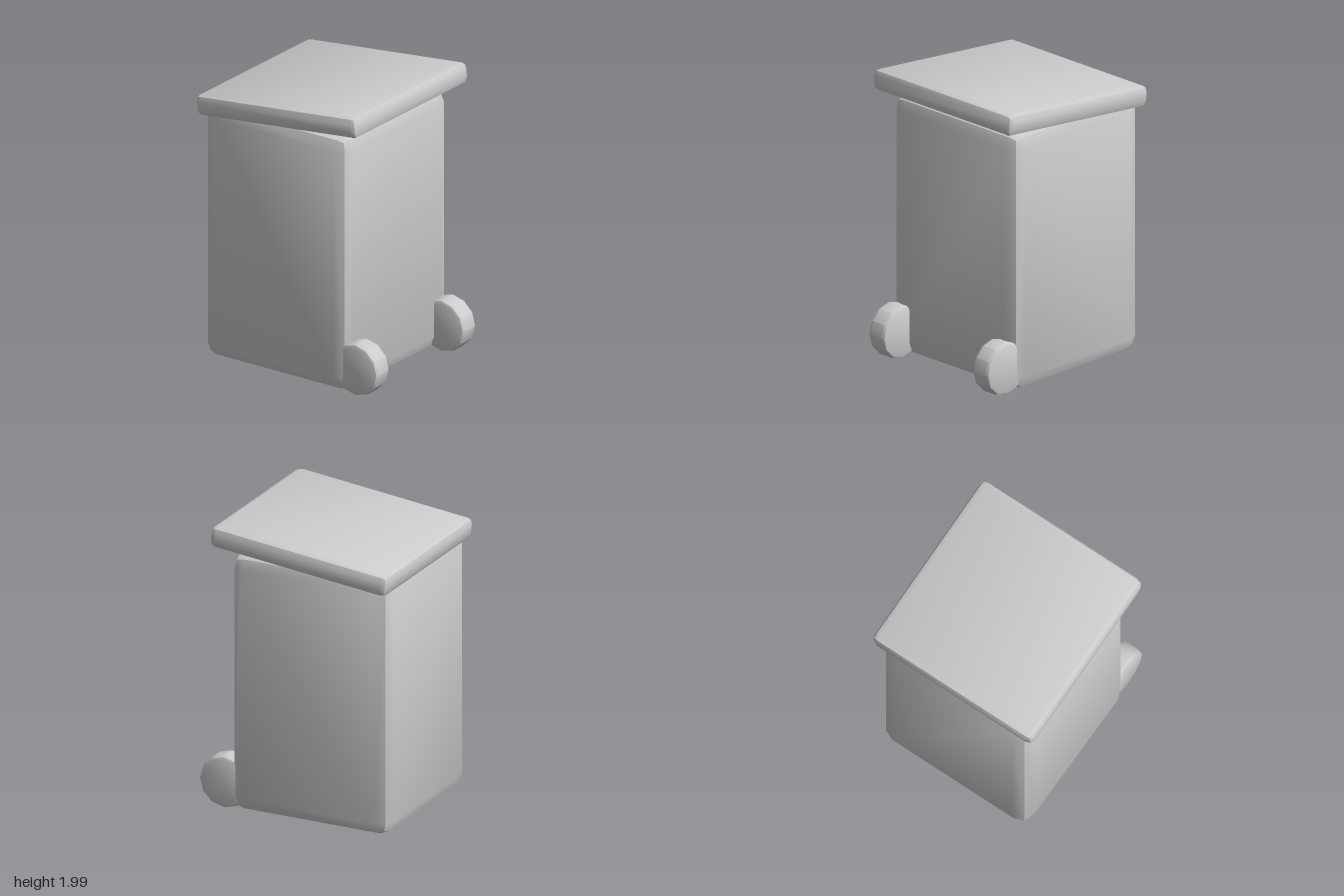
import * as THREE from 'three';
import { toCreasedNormals } from 'three/addons/utils/BufferGeometryUtils.js';
import { ConvexGeometry } from 'three/addons/geometries/ConvexGeometry.js';

const CREASE = THREE.MathUtils.degToRad(35);

// Box with two-segment rounded edges: each corner is an eighth of a coarse sphere
function bevelledBox(width, height, depth, radius) {
  const half = new THREE.Vector3(width / 2 - radius, height / 2 - radius, depth / 2 - radius);
  const points = [];
  for (const sx of [-1, 1]) for (const sy of [-1, 1]) for (const sz of [-1, 1]) {
    const sign = new THREE.Vector3(sx, sy, sz);
    for (let i = 1; i < 8; i++) {
      const direction = new THREE.Vector3(i & 1, (i >> 1) & 1, (i >> 2) & 1).setLength(radius);
      points.push(direction.add(half).multiply(sign));
    }
  }
  return toCreasedNormals(new ConvexGeometry(points), CREASE);
}

// Solid wheel with softened rims, axle along x
function wheelGeometry(radius, width, bevel) {
  const h = width / 2, m = bevel * 0.293;
  const rim = [[radius - bevel, h], [radius - m, h - m], [radius, h - bevel]];
  const profile = [
    [0, -h], ...rim.map(([r, y]) => [r, -y]), ...rim.reverse(), [0, h],
  ].map(([r, y]) => new THREE.Vector2(r, y));
  const geometry = new THREE.LatheGeometry(profile, 12);
  geometry.rotateZ(Math.PI / 2);
  return toCreasedNormals(geometry, CREASE);
}

export function createModel() {
  const group = new THREE.Group();
  group.name = 'wheeledBin';
  const plastic = new THREE.MeshStandardMaterial({ color: 0xcccccc });
  plastic.name = 'lightGrey';

  const add = (name, geometry, x, y, z) => {
    const mesh = new THREE.Mesh(geometry, plastic);
    mesh.name = name;
    mesh.position.set(x, y, z);
    group.add(mesh);
    return mesh;
  };

  // Container
  add('body', bevelledBox(1.16, 1.805, 1.17, 0.1), 0, 0.907, -0.105);

  // Lid, sloping down to the back
  const lid = add('lid', bevelledBox(1.27, 0.15, 1.31, 0.045), 0, 1.86, -0.055);
  lid.rotation.x = -0.106;

  // Pair of wheels at the front
  const wheel = wheelGeometry(0.182, 0.152, 0.025);
  add('leftWheel', wheel, 0.478, 0.19, 0.532);
  add('rightWheel', wheel, -0.478, 0.19, 0.532);

  return group;
}
